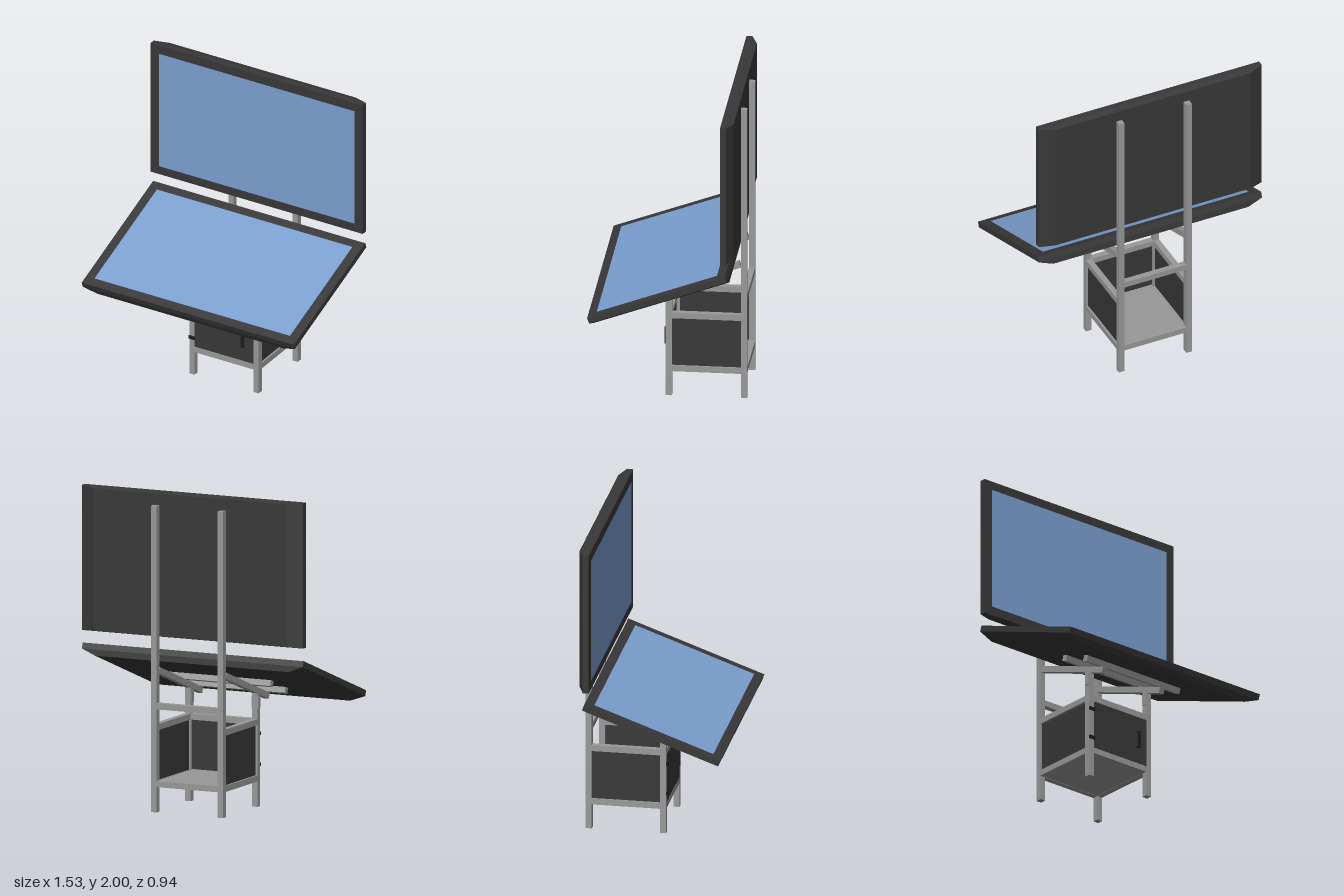
import * as THREE from 'three';

const frameMat = new THREE.MeshStandardMaterial({ color: 0x999999, flatShading: true });
const darkMat = new THREE.MeshStandardMaterial({ color: 0x383838, flatShading: true });
const blackMat = new THREE.MeshStandardMaterial({ color: 0x1c1c1c, flatShading: true });
const glassMat = new THREE.MeshStandardMaterial({ color: 0x7b9fcf });

const BAR = 0.038;            // square tube size
const POST_X = 0.231;         // post centre, left and right
const FRONT_Z = 0.018, REAR_Z = -0.449;
const TILT = THREE.MathUtils.degToRad(20);

function box(parent, name, mat, size, pos) {
  const mesh = new THREE.Mesh(new THREE.BoxGeometry(...size), mat);
  mesh.position.set(...pos);
  mesh.name = name;
  parent.add(mesh);
  return mesh;
}

// Display with its front face at local z = 0, tapering towards the back
function createDisplay(name) {
  const display = new THREE.Group();
  display.name = name;
  const geo = new THREE.BoxGeometry(1.53, 0.91, 0.075, 1, 1, 2);
  geo.translate(0, 0, -0.0375);
  const p = geo.attributes.position;
  for (let i = 0; i < p.count; i++) {
    if (p.getZ(i) < -0.07) {
      p.setX(i, Math.sign(p.getX(i)) * 0.67);
      p.setY(i, Math.sign(p.getY(i)) * 0.447);
    }
  }
  geo.computeVertexNormals();
  const shell = new THREE.Mesh(geo, darkMat);
  shell.name = 'displayHousing';
  display.add(shell);
  const glass = new THREE.Mesh(new THREE.PlaneGeometry(1.41, 0.795), glassMat);
  glass.position.z = 0.002;
  glass.name = 'displayGlass';
  display.add(glass);
  return display;
}

// Front post whose top is cut to the slope of the desk rail
function createFrontPost(x) {
  const geo = new THREE.BoxGeometry(BAR, 1, BAR);
  const p = geo.attributes.position;
  for (let i = 0; i < p.count; i++) {
    p.setY(i, p.getY(i) < 0 ? 0 : 0.706 - p.getZ(i) * Math.tan(TILT));
  }
  geo.computeVertexNormals();
  const post = new THREE.Mesh(geo, frameMat);
  post.position.set(x, 0, FRONT_Z);
  post.name = 'frontPost';
  return post;
}

export function createModel() {
  const model = new THREE.Group();
  model.name = 'twoScreenStand';

  // Upright display
  const upper = createDisplay('uprightDisplay');
  upper.position.set(0, 1.545, -0.355);
  model.add(upper);

  // Tilted desk: display, two cross bars and two sloping rails
  const desk = new THREE.Group();
  desk.name = 'tiltedDesk';
  desk.position.set(0, 0.855, 0.0425);
  desk.rotation.x = TILT - Math.PI / 2;
  desk.add(createDisplay('deskDisplay'));
  for (const v of [-0.147, 0.064]) {
    box(desk, 'deskCrossBar', frameMat, [0.75, BAR, BAR], [0, v, -0.0935]);
  }
  for (const s of [-1, 1]) {
    box(desk, 'deskRail', frameMat, [BAR, 0.626, BAR], [s * POST_X, 0.137, -0.131]);
  }
  model.add(desk);

  // Posts, side bars and side panels, mirrored
  const spanZ = FRONT_Z - REAR_Z - BAR, midZ = (FRONT_Z + REAR_Z) / 2;
  const spanX = 2 * POST_X - BAR;
  for (const s of [-1, 1]) {
    const x = s * POST_X;
    box(model, 'rearPost', frameMat, [BAR, 1.92, BAR], [x, 0.96, REAR_Z]);
    model.add(createFrontPost(x));
    for (const e of [-1, 1]) {
      box(model, 'postBracket', frameMat, [0.005, 0.075, 0.03],
        [x + e * (BAR / 2 + 0.0025), 0.655, FRONT_Z]);
    }
    for (const y of [0.178, 0.531]) {
      box(model, 'sideBar', frameMat, [BAR, BAR, spanZ], [x, y, midZ]);
    }
    box(model, 'sidePanel', darkMat, [0.016, 0.315, spanZ], [s * 0.23, 0.355, midZ]);
  }

  // Bars across the front and rear; the upper rear one sits higher
  for (const [y, z] of [[0.178, FRONT_Z], [0.531, FRONT_Z], [0.178, REAR_Z], [0.665, REAR_Z]]) {
    box(model, 'crossBar', frameMat, [spanX, BAR, BAR], [0, y, z]);
  }

  // Cabinet floor and door, open at the top and rear
  box(model, 'cabinetFloor', frameMat, [spanX, 0.034, spanZ], [0, 0.178, midZ]);
  box(model, 'cabinetDoor', darkMat, [spanX, 0.31, 0.018], [0, 0.354, 0.028]);
  for (const y of [0.26, 0.455]) {
    box(model, 'doorHinge', blackMat, [0.042, 0.02, 0.01], [-0.23, y, 0.042]);
  }

  // U-shaped door handle
  const handle = new THREE.Group();
  handle.name = 'doorHandle';
  handle.position.set(0.142, 0.355, 0.037);
  box(handle, 'handleGrip', blackMat, [0.02, 0.108, 0.005], [0, 0, 0.0155]);
  for (const s of [-1, 1]) {
    box(handle, 'handleLeg', blackMat, [0.02, 0.005, 0.014], [0, s * 0.0515, 0.007]);
  }
  model.add(handle);

  return model;
}
